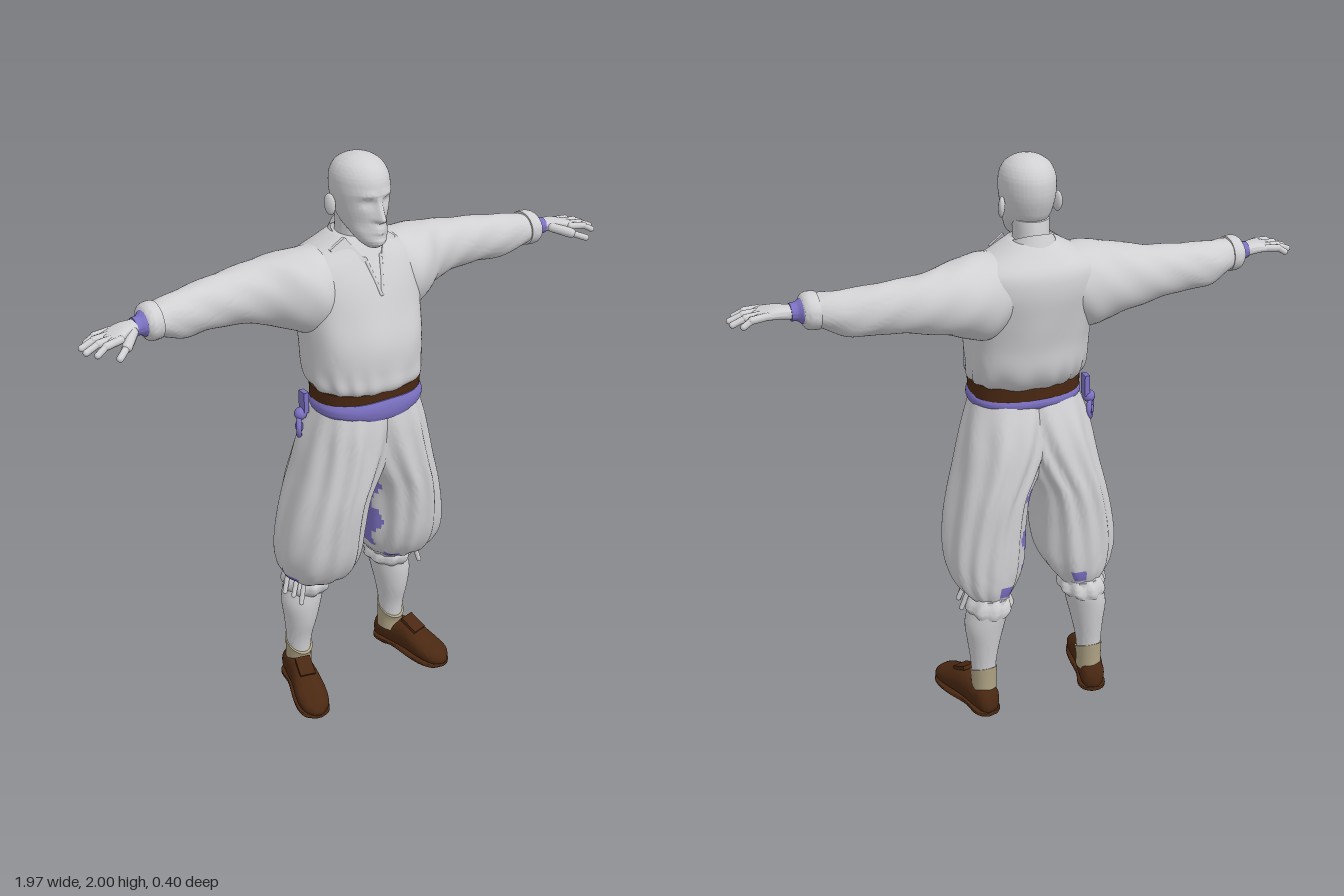
import * as THREE from 'three';
import { toCreasedNormals } from 'three/addons/utils/BufferGeometryUtils.js';

const mat = (name, color) => Object.assign(new THREE.MeshStandardMaterial({ color }), { name });

// Smooth body through cross-sections [t, a0, a1, b0, b1], t rising along the axis.
// Axis y: a = x, b = z.  Axis x: a = y, b = z.  Axis z: a = x, b = y.
function loft(axis, rings, { n = 40, m = 24, pow = 2, fold, warp, pick, caps = true } = {}) {
  const spline = new THREE.CubicInterpolant(rings.map(r => r[0]), rings.flatMap(r => r.slice(1)), 4);
  const t0 = rings[0][0], t1 = rings[rings.length - 1][0];
  const pos = [], faces = [[], []], p = new THREE.Vector3();
  const add = (a, b, t) => {
    if (axis === 'y') p.set(a, t, b);
    else if (axis === 'x') p.set(t, a, b);
    else p.set(a, b, t);
    if (warp) warp(p);
    pos.push(p.x, p.y, p.z);
  };
  const tri = (k, a, b, c) => axis === 'y' ? faces[k].push(a, c, b) : faces[k].push(a, b, c);
  const round = v => Math.sign(v) * Math.abs(v) ** (2 / pow);
  const mids = [];
  for (let j = 0; j <= m; j++) {
    const t = t0 + (t1 - t0) * (1 - Math.cos(Math.PI * j / m)) / 2;
    const [a0, a1, b0, b1] = spline.evaluate(t);
    mids.push([(a0 + a1) / 2, (b0 + b1) / 2, t]);
    for (let i = 0; i < n; i++) {
      const th = 2 * Math.PI * i / n, k = fold ? 1 + fold(th, t) : 1;
      add((a0 + a1) / 2 + k * (a1 - a0) / 2 * round(Math.cos(th)),
        (b0 + b1) / 2 + k * (b1 - b0) / 2 * round(Math.sin(th)), t);
      if (j === m) continue;
      const a = j * n + i, b = j * n + (i + 1) % n, g = pick && pick(th, t) ? 1 : 0;
      tri(g, a, b, b + n);
      tri(g, a, b + n, a + n);
    }
  }
  if (caps) {
    const c = pos.length / 3;
    add(...mids[0]);
    add(...mids[m]);
    for (let i = 0; i < n; i++) {
      const k = (i + 1) % n;
      tri(0, c, k, i);
      tri(0, c + 1, m * n + i, m * n + k);
    }
  }
  const geo = new THREE.BufferGeometry();
  geo.setAttribute('position', new THREE.Float32BufferAttribute(pos, 3));
  geo.setIndex([...faces[0], ...faces[1]]);
  if (pick) {
    geo.addGroup(0, faces[0].length, 0);
    geo.addGroup(faces[0].length, faces[1].length, 1);
  }
  return toCreasedNormals(geo, 1.1);
}

// Mirror in x and keep the faces pointing outward
function mirrored(geo) {
  const g = geo.index ? geo.toNonIndexed() : geo.clone();
  g.scale(-1, 1, 1);
  for (const { array, itemSize: s } of Object.values(g.attributes))
    for (let i = 0; i < array.length; i += 3 * s)
      for (let k = 0; k < s; k++)
        [array[i + s + k], array[i + 2 * s + k]] = [array[i + 2 * s + k], array[i + s + k]];
  return g;
}

// Rounded rod between two points
function rod(a, b, r) {
  const A = new THREE.Vector3(...a), B = new THREE.Vector3(...b), d = B.clone().sub(A);
  const g = new THREE.CapsuleGeometry(r, d.length(), 5, 10);
  g.applyQuaternion(new THREE.Quaternion().setFromUnitVectors(new THREE.Vector3(0, 1, 0), d.normalize()));
  return g.translate(...A.add(B).multiplyScalar(0.5).toArray());
}

export function createModel() {
  const pale = mat('pale grey', 0xd0d0d3), purple = mat('violet', 0x7c72c4);
  const brown = mat('dark brown', 0x4a2812), beige = mat('beige', 0xaea284);
  pale.side = THREE.DoubleSide;
  const model = new THREE.Group();
  const part = (name, geo, m) => {
    const mesh = new THREE.Mesh(geo, m);
    mesh.name = name;
    model.add(mesh);
  };
  const pair = (name, geo, m) => {
    part(name + 'Left', geo, m);
    part(name + 'Right', mirrored(geo), m);
  };
  const bump = (v, c, w) => Math.exp(-(((v - c) / w) ** 2));

  // Head, with the face modelled by moving its front vertices
  part('head', loft('y', [[1.715, -.022, .022, .06, .11], [1.73, -.04, .04, .03, .126], [1.76, -.058, .058, -.02, .126],
    [1.79, -.07, .07, -.07, .122], [1.84, -.083, .083, -.1, .119], [1.9, -.09, .09, -.112, .121],
    [1.95, -.083, .083, -.1, .105], [1.98, -.06, .06, -.07, .072], [1.995, -.03, .03, -.032, .036], [2, -.005, .005, -.005, .01]], {
    n: 88, m: 64, warp: p => {
      if (p.z < .03) return;
      const x = Math.abs(p.x), y = p.y;
      const nose = Math.max(0, Math.min((1.88 - y) / .065, 1)) * Math.max(0, Math.min((y - 1.795) / .015, 1));
      p.z += .034 * nose * bump(x, 0, .008 + .009 * nose) - .014 * bump(x, .035, .018) * bump(y, 1.865, .014)
        + .007 * bump(x, .035, .03) * bump(y, 1.89, .01) + .005 * bump(x, .036, .01) * bump(y, 1.864, .006)
        + .009 * bump(x, 0, .022) * (bump(y, 1.782, .007) + bump(y, 1.767, .007))
        + .006 * bump(x, 0, .02) * bump(y, 1.735, .014) - .006 * bump(x, .05, .02) * bump(y, 1.795, .025);
    } }), pale);
  part('neck', loft('y', [[1.6, -.075, .075, -.12, .06], [1.68, -.062, .062, -.105, .052], [1.74, -.058, .058, -.1, .045],
    [1.8, -.06, .06, -.09, .04]]), pale);
  const ear = new THREE.SphereGeometry(1, 16, 12).scale(.011, .035, .022).rotateY(-.35).rotateX(-.15).translate(.096, 1.84, -.018);
  pair('ear', ear, pale);

  // Loose shirt body, gathered at the waist
  part('shirtBody', loft('y', [[1.228, -.18, .18, -.1, .172], [1.25, -.196, .196, -.125, .192], [1.3, -.205, .205, -.155, .195],
    [1.4, -.212, .212, -.168, .19], [1.5, -.222, .222, -.185, .158], [1.6, -.235, .235, -.197, .122],
    [1.66, -.215, .215, -.185, .092], [1.7, -.145, .145, -.15, .07], [1.735, -.08, .08, -.118, .05]], {
    n: 96, m: 36, pow: 2.2,
    fold: (th, y) => .025 * Math.sin(15 * th + 2 * Math.sin(3 * th)) * bump(y, 1.26, .05) + .012 * Math.sin(8 * th + 9 * y) * bump(y, 1.43, .1)
  }), pale);
  pair('sleeve', loft('x', [[.06, 1.52, 1.695, -.16, .05], [.17, 1.42, 1.705, -.185, .1], [.24, 1.435, 1.697, -.187, .08],
    [.32, 1.465, 1.685, -.18, .03], [.42, 1.49, 1.672, -.168, 0], [.52, 1.497, 1.66, -.15, -.003], [.63, 1.5, 1.65, -.128, .008],
    [.7, 1.53, 1.645, -.105, .02], [.735, 1.545, 1.638, -.092, .022]], {
    n: 56, m: 56, fold: (th, x) => .035 * Math.sin(3 * th + 34 * x) * Math.sin(2 * th + 11 * x) * Math.min(1, x / .3)
  }), pale);
  pair('cuff', loft('x', [[.715, 1.53, 1.648, -.102, .027], [.725, 1.53, 1.65, -.104, .03], [.755, 1.535, 1.645, -.096, .03],
    [.763, 1.545, 1.636, -.088, .022]], { m: 12 }), pale);
  pair('cuffLining', loft('x', [[.755, 1.547, 1.634, -.084, .02], [.768, 1.552, 1.628, -.07, .012],
    [.775, 1.558, 1.622, -.06, .008], [.797, 1.561, 1.617, -.056, .007]], { m: 12 }), purple);

  // Collar stand, turned-down points and neck slit
  part('collarStand', loft('y', [[1.69, -.1, .1, -.14, .075], [1.73, -.085, .085, -.125, .06], [1.765, -.07, .07, -.112, .052]], {
    m: 8, caps: false, warp: p => { p.y -= .075 * Math.max(0, (p.z + .11) / .17); }
  }), pale);
  const flap = new THREE.Shape([[.075, 1.74], [.028, 1.672], [.088, 1.64], [.125, 1.705]].map(q => new THREE.Vector2(...q)));
  const flapGeo = new THREE.ExtrudeGeometry(flap, { depth: .012, bevelEnabled: false });
  const fp = flapGeo.attributes.position;
  for (let i = 0; i < fp.count; i++)
    fp.setZ(i, fp.getZ(i) + .11 - (fp.getY(i) - 1.64) * .5 - fp.getX(i) * .5);
  flapGeo.computeVertexNormals();
  pair('collarPoint', flapGeo, pale);
  pair('neckSlitEdge', rod([.03, 1.675, .083], [.002, 1.565, .135], .006), pale);

  // Hands
  pair('palm', loft('x', [[.74, 1.565, 1.62, -.055, .005], [.79, 1.567, 1.612, -.052, .005], [.84, 1.572, 1.612, -.053, .033],
    [.88, 1.572, 1.602, -.048, .055], [.905, 1.576, 1.594, -.04, .05]], { pow: 2.4 }), pale);
  [[-.038, .945, -.042], [-.012, .973, -.012], [.018, .975, .026], [.043, .955, .062]].forEach(([z, x, tip], i) => {
    const knuckle = [(.87 + x) / 2 + .01, 1.585, (z + tip) / 2];
    pair('finger' + i, rod([.87, 1.59, z], knuckle, .0125), pale);
    pair('fingertip' + i, rod(knuckle, [x, 1.568, tip], .0105), pale);
  });
  pair('thumbBase', rod([.815, 1.587, .01], [.86, 1.572, .062], .017), pale);
  pair('thumb', rod([.86, 1.572, .062], [.9, 1.557, .095], .0115), pale);

  // Belt, sash and hanging pouch
  part('belt', loft('y', [[1.19, -.192, .192, -.106, .181], [1.242, -.194, .194, -.108, .184]], { n: 64, m: 4, pow: 2.3 }), brown);
  part('sash', loft('y', [[1.147, -.184, .184, -.102, .186], [1.16, -.195, .195, -.108, .192], [1.185, -.196, .196, -.109, .193],
    [1.2, -.188, .188, -.103, .187]], { n: 72, m: 12, pow: 2.3,
    warp: p => {
      const f = bump(p.x, 0, .11) * (p.z > 0 ? 1 : 0);
      p.y = 1.178 + (p.y - 1.174) * (p.z > 0 ? 1 + .35 * f : .75);
    } }), purple);
  part('pouchStrap', new THREE.BoxGeometry(.018, .075, .035).translate(-.208, 1.178, -.015), purple);
  part('pouchRing', new THREE.TorusGeometry(.032, .009, 10, 24).rotateY(1.0).translate(-.225, 1.09, -.02), purple);
  part('pouchKnot', new THREE.SphereGeometry(.022, 14, 10).translate(-.22, 1.135, -.018), purple);
  part('pouchDrop', new THREE.SphereGeometry(.016, 14, 10).scale(.8, 1.3, 1).translate(-.225, 1.088, -.02), purple);

  // Baggy breeches with long pleats; the left inner thigh carries a violet patch
  const breeches = inner => loft('y', [[.455, .105, .235, -.14, .015], [.48, .085, .262, -.15, .05], [.51, .062, .285, -.158, .1],
    [.56, .04, .302, -.163, .14], [.62, .03, .308, -.165, .165], [.72, .024, .298, -.165, .182], [.84, .008, .272, -.165, .193],
    [.92, -.03, .252, -.16, .195], [1.02, -.075, .23, -.148, .193], [1.1, -.09, .21, -.128, .188], [1.18, -.1, .186, -.1, .176]], {
    n: 110, m: 50, pow: 2.15,
    fold: (th, y) => (.035 * Math.sin(11 * th + 1.5 * Math.sin(2 * th + 4 * y)) + .015 * Math.sin(5 * th + 8 * y))
      * Math.min(1, Math.max(0, (1.2 - y) / .15)) * (y < .56 ? .8 : 1),
    pick: (th, y) => (inner && y > .54 && y < .89 && Math.abs(th - 3.25) < .5 + .15 * Math.sin(40 * y))
      || (y > .475 && y < .515 && Math.sin(3 * th + 1) > .75)
  });
  part('breechesLeft', breeches(true), [pale, purple]);
  part('breechesRight', mirrored(breeches(false)), [pale, purple]);
  pair('kneeRuffle', loft('y', [[.405, .115, .25, -.166, .005], [.425, .095, .262, -.17, .02], [.45, .1, .255, -.165, .025],
    [.475, .11, .24, -.15, .01]], { n: 72, m: 12, fold: (th, y) => .05 * Math.sin(9 * th + 20 * y) }), pale);
  [[.262, -.02], [.268, -.07], [.25, .01]].forEach(([x, z], i) =>
    pair('kneeTie' + i, rod([x - .015, .49, z], [x + .006, .43 - .01 * i, z + .01], .009), pale));

  // Stockings and ankle socks
  pair('stocking', loft('y', [[.1, .166, .246, -.135, -.042], [.2, .16, .25, -.138, -.032], [.28, .145, .258, -.148, -.01],
    [.36, .125, .266, -.158, 0], [.42, .112, .25, -.163, 0], [.47, .105, .24, -.155, .005]]), pale);
  pair('sock', loft('y', [[.08, .162, .25, -.143, -.034], [.12, .162, .25, -.141, -.036], [.17, .158, .253, -.142, -.029]], {
    m: 8, warp: p => { if (p.y > .12) p.y += (-.09 - p.z) * .5 * (p.y - .12) / .05; }
  }), beige);

  // Shoes turned outward, with soles, heels and tongues
  const place = g => g.rotateY(.25).translate(.238, 0, 0);
  pair('shoe', place(loft('z', [[-.162, -.02, .02, .012, .07], [-.15, -.036, .036, .008, .1], [-.1, -.045, .045, .008, .112],
    [-.04, -.047, .047, .008, .12], [.01, -.05, .05, .008, .12], [.06, -.056, .056, .008, .098], [.11, -.055, .055, .008, .077],
    [.15, -.041, .041, .008, .06], [.17, -.014, .014, .012, .036]], { m: 30, pow: 2.4 })), brown);
  pair('sole', place(loft('z', [[-.164, -.022, .022, .006, .022], [-.15, -.04, .04, .005, .023], [-.05, -.046, .046, .006, .023],
    [.06, -.058, .058, 0, .02], [.12, -.056, .056, 0, .02], [.155, -.04, .04, .002, .02], [.172, -.014, .014, .006, .018]],
    { m: 24, pow: 5 })), brown);
  pair('heel', place(new THREE.CylinderGeometry(.042, .042, .02, 24).scale(1, 1, 1.25).translate(0, .01, -.105)), brown);
  pair('tongue', place(new THREE.BoxGeometry(.056, .014, .075).rotateX(.45).translate(0, .122, .012)), brown);
  return model;
}
